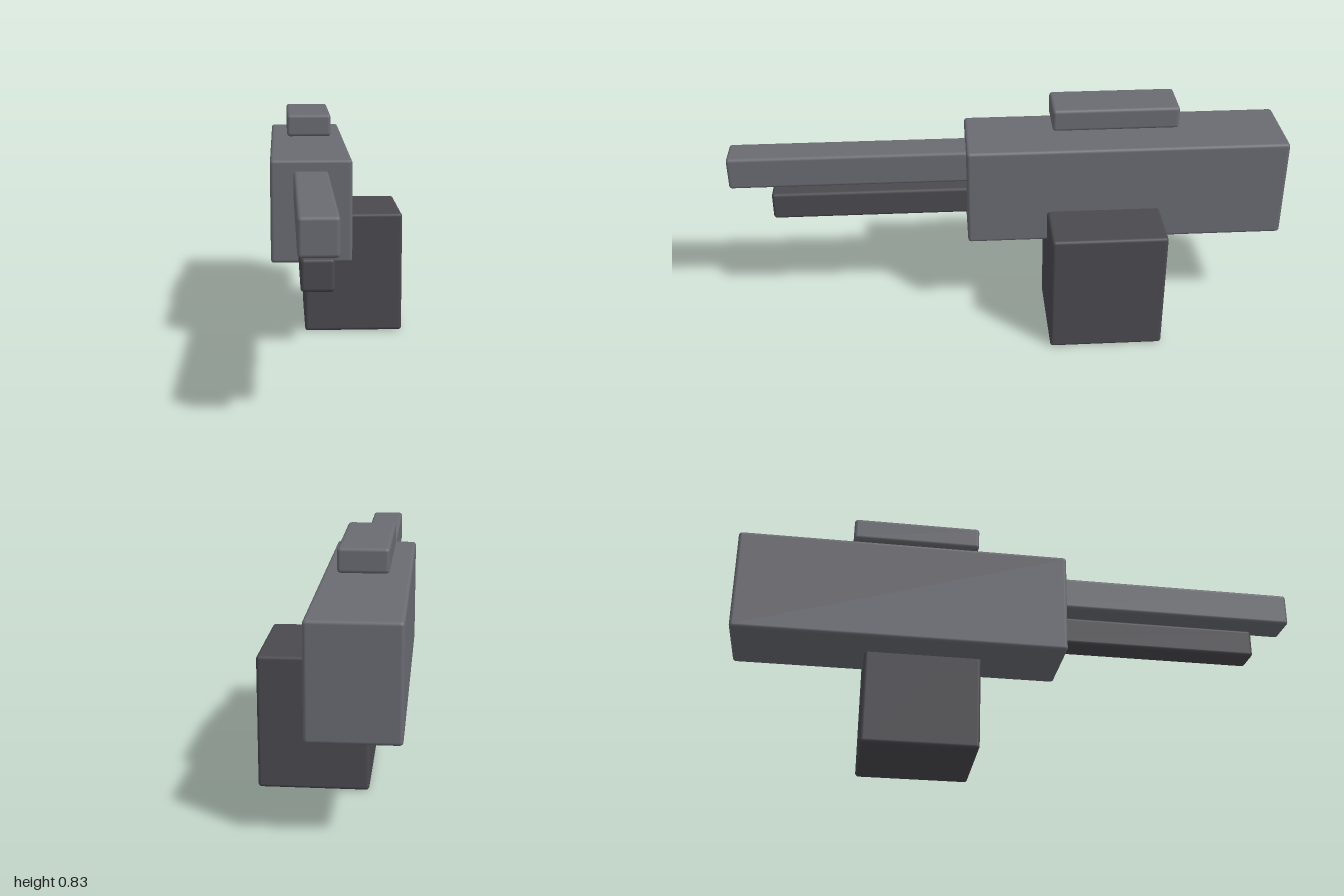
import * as THREE from 'three';
import { RoundedBoxGeometry } from 'three/addons/geometries/RoundedBoxGeometry.js';

export function createModel() {
  const model = new THREE.Group();
  model.name = 'blockyLauncher';
  const grey = new THREE.MeshStandardMaterial({ name: 'steel grey', color: 0x6a6b72 });
  const dark = new THREE.MeshStandardMaterial({ name: 'dark grey', color: 0x4a494f });

  // Soft-edged block given by its extents on each axis
  function block(name, material, [x0, x1], [y0, y1], [z0, z1]) {
    const geometry = new RoundedBoxGeometry(x1 - x0, y1 - y0, z1 - z0, 3, 0.012);
    const mesh = new THREE.Mesh(geometry, material);
    mesh.name = name;
    mesh.position.set((x0 + x1) / 2, (y0 + y1) / 2, (z0 + z1) / 2);
    model.add(mesh);
  }

  // Main housing and the sight bar floating above it
  block('body', grey, [-0.248, 0.04], [0.333, 0.7], [-1, 0.15]);
  block('sightBar', grey, [-0.186, -0.023], [0.745, 0.826], [-0.607, -0.157]);

  // Two square barrels, rooted inside the housing
  block('upperBarrel', grey, [-0.166, -0.044], [0.54, 0.66], [0.1, 1]);
  block('lowerBarrel', dark, [-0.155, -0.053], [0.405, 0.507], [0.1, 0.855]);

  // Ammunition box offset to the left, under the housing
  block('ammoBox', dark, [-0.123, 0.246], [0, 0.454], [-0.545, -0.137]);

  return model;
}
